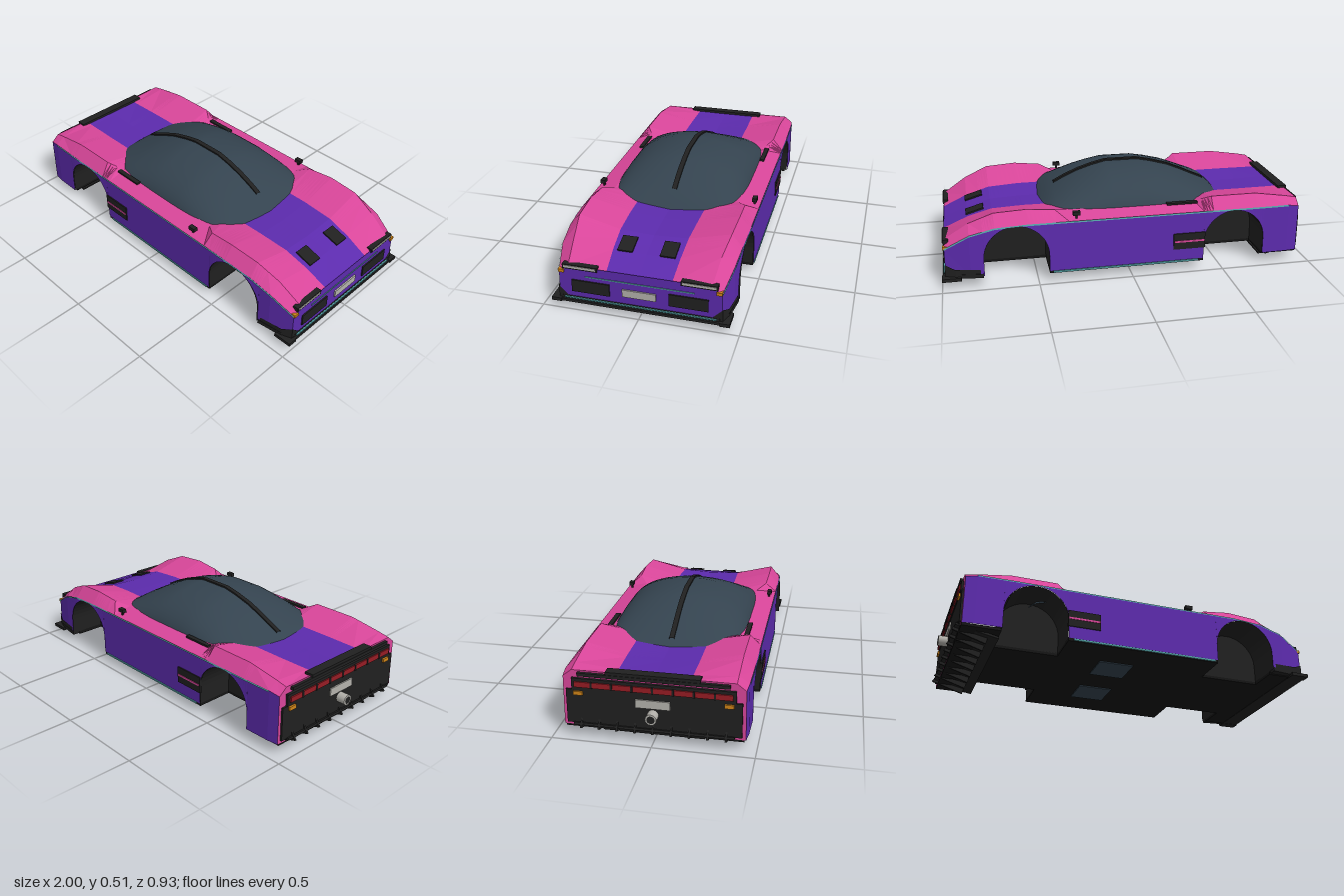
import * as THREE from 'three';

const mat = (name, color, side = THREE.FrontSide) => {
  const m = new THREE.MeshStandardMaterial({ color, side });
  m.name = name;
  return m;
};
const pink = mat('pink paint', 0xd9469a);
const purple = mat('purple paint', 0x5c2bad);
const glass = mat('smoked glass', 0x34434f);
const black = mat('black trim', 0x202020, THREE.DoubleSide);
const under = mat('underbody', 0x151515);
const teal = mat('teal pinstripe', 0x55a5a8);
const red = mat('red lamp', 0x961c24);
const orange = mat('orange lamp', 0xd08418);
const silver = mat('light grey', 0xb4b2ac);

// Body sections along x: centre y, stripe z/y, ridge z/y, shoulder z/y
const KEYS = [
  [-0.94, 0.345, 0.18, 0.345, 0.40, 0.35, 0.445, 0.315],
  [-0.88, 0.34, 0.182, 0.343, 0.40, 0.362, 0.452, 0.325],
  [-0.70, 0.335, 0.185, 0.343, 0.40, 0.39, 0.455, 0.325],
  [-0.45, 0.333, 0.185, 0.343, 0.40, 0.39, 0.455, 0.325],
  [-0.37, 0.33, 0.185, 0.335, 0.345, 0.35, 0.455, 0.325],
  [0.33, 0.325, 0.185, 0.33, 0.345, 0.35, 0.455, 0.325],
  [0.40, 0.322, 0.185, 0.333, 0.395, 0.375, 0.455, 0.325],
  [0.55, 0.322, 0.183, 0.333, 0.40, 0.39, 0.455, 0.325],
  [0.72, 0.315, 0.178, 0.324, 0.395, 0.38, 0.45, 0.315],
  [0.85, 0.28, 0.172, 0.285, 0.375, 0.325, 0.44, 0.28],
  [0.98, 0.225, 0.165, 0.226, 0.36, 0.24, 0.41, 0.205],
];
const WELLS = [-0.57, 0.61], R = 0.17, CY = 0.15, SILL = 0.055, WELL_Z = 0.25;

const sample = (table, x) => {
  let i = 0;
  while (i < table.length - 2 && x > table[i + 1][0]) i++;
  const a = table[i], b = table[i + 1], t = (x - a[0]) / (b[0] - a[0]);
  return a.map((v, k) => v + (b[k] - v) * t);
};

// Outline of a wheel arch, rear to front
const archPath = (cx) => {
  const pts = [[cx - R, SILL]];
  for (let i = 0; i <= 20; i++) {
    const a = Math.PI * (1 - i / 20);
    pts.push([cx + R * Math.cos(a), CY + R * Math.sin(a)]);
  }
  return [...pts, [cx + R, SILL]];
};

// Surface through rows of points
function grid(rows, smooth = false) {
  const n = rows[0].length, idx = [];
  for (let i = 0; i < rows.length - 1; i++)
    for (let j = 0; j < n - 1; j++) {
      const a = i * n + j, b = a + n;
      idx.push(a, a + 1, b + 1, a, b + 1, b);
    }
  let g = new THREE.BufferGeometry();
  g.setAttribute('position', new THREE.Float32BufferAttribute(rows.flat(2), 3));
  g.setIndex(idx);
  if (!smooth) g = g.toNonIndexed();
  g.computeVertexNormals();
  return g;
}

export function createModel() {
  const car = new THREE.Group();
  car.name = 'car';
  const add = (name, geo, m) => {
    const mesh = new THREE.Mesh(geo, m);
    mesh.name = name;
    car.add(mesh);
    return mesh;
  };
  const box = (name, m, x0, x1, y0, y1, z0, z1) => {
    const mesh = add(name, new THREE.BoxGeometry(x1 - x0, y1 - y0, z1 - z0), m);
    mesh.position.set((x0 + x1) / 2, (y0 + y1) / 2, (z0 + z1) / 2);
    return mesh;
  };
  const pair = (name, m, x0, x1, y0, y1, z0, z1) =>
    [box(name, m, x0, x1, y0, y1, z0, z1), box(name, m, x0, x1, y0, y1, -z1, -z0)];

  // Body shell: strips running lengthwise, with arches cut in the flanks
  const stations = KEYS.map((k) => [k[0], SILL])
    .filter(([x]) => !WELLS.some((c) => Math.abs(x - c) < R));
  for (const k of KEYS) for (const c of WELLS)
    if (Math.abs(k[0] - c) < R) stations.push([k[0], CY + Math.sqrt(R * R - (k[0] - c) ** 2)]);
  WELLS.forEach((c) => stations.push(...archPath(c)));
  stations.sort((a, b) => a[0] - b[0]);
  const section = ([x, low]) => {
    const [, yc, zs, ys, zr, yr, zb, yb] = sample(KEYS, x);
    return [[x, yc, 0], [x, ys, zs], [x, yr, zr], [x, yb, zb], [x, low, zb + 0.003]];
  };
  const sections = stations.map(section);
  const bothSides = (name, rows, m) => {
    add(name, grid(rows), m);
    add(name, grid(rows.map((r) => r.map(([x, y, z]) => [x, y, -z]).reverse())), m);
  };
  bothSides('centreStripe', sections.map((s) => s.slice(0, 2)), purple);
  bothSides('upperBody', sections.map((s) => s.slice(1, 4)), pink);
  bothSides('flank', sections.map((s) => s.slice(3, 5)), purple);
  bothSides('beltPinstripe', sections.filter((s) => s[0][0] > -0.89)
    .map((s) => [[s[3][0], s[3][1] + 0.003, s[3][2] + 0.003], [s[3][0], s[3][1] - 0.005, s[3][2] + 0.005]]), teal);
  const cap = (s) => [s.map(([x, y, z]) => [x, y, z]), s.map(([x, y, z]) => [x, y, -z])];
  add('noseFace', grid(cap(sections[sections.length - 1].slice(1))), purple);
  add('tailFace', grid(cap(sections[0].slice(1)).reverse()), pink);

  // Wheel wells, open below
  for (const c of WELLS) for (const s of [1, -1]) {
    const path = archPath(c);
    add('wheelWell', grid(path.map(([x, y]) => [[x, y, s * WELL_Z], [x, y, s * 0.455]])), black);
    const wall = new THREE.Shape(path.map(([x, y]) => new THREE.Vector2(x, y)));
    add('wellWall', new THREE.ShapeGeometry(wall), black).position.z = s * WELL_Z;
  }

  // Floor
  box('floor', under, -0.94, 0.97, 0.04, 0.06, -WELL_Z, WELL_Z);
  pair('floorSide', under, -0.40, 0.44, 0.04, 0.06, WELL_Z, 0.455);
  pair('floorRear', under, -0.94, -0.74, 0.045, 0.06, WELL_Z, 0.44);
  pair('floorFront', under, 0.78, 0.97, 0.04, 0.06, WELL_Z, 0.41);
  pair('floorPanel', glass, -0.17, 0.02, 0.034, 0.042, 0.09, 0.27);
  pair('sillPinstripe', teal, -0.37, 0.42, 0.044, 0.053, 0.452, 0.461);

  // Canopy: half-ellipse sections [x, height, half width]
  const DOME = [[-0.575, 0.02, 0.24], [-0.54, 0.05, 0.31], [-0.50, 0.07, 0.335], [-0.45, 0.092, 0.352],
    [-0.38, 0.125, 0.365], [-0.30, 0.158, 0.37], [-0.20, 0.186, 0.37], [-0.12, 0.202, 0.37],
    [0.06, 0.202, 0.37], [0.14, 0.183, 0.37], [0.22, 0.157, 0.37], [0.30, 0.122, 0.365],
    [0.37, 0.085, 0.36], [0.42, 0.052, 0.345], [0.47, 0.005, 0.30]];
  add('canopy', grid(DOME.map(([x, h, w]) => Array.from({ length: 25 }, (_, j) => {
    const a = Math.PI * (1 - j / 24);
    return [x, 0.30 + h * Math.sin(a), w * Math.cos(a)];
  })), true), glass);
  const spine = [-0.52, ...DOME.slice(2, 12).map((d) => d[0]), 0.36].map((x) => {
    const y = 0.30 + sample(DOME, x)[1];
    return [[x, y - 0.01, -0.013], [x, y + 0.008, -0.013], [x, y + 0.008, 0.013], [x, y - 0.01, 0.013]];
  });
  add('canopySpine', grid(spine), black);

  // Flank details
  pair('sideVent', black, -0.405, -0.23, 0.12, 0.21, 0.45, 0.463);
  pair('ventAccent', pink, -0.40, -0.235, 0.16, 0.17, 0.46, 0.466);
  pair('doorHandle', black, -0.38, -0.21, 0.348, 0.358, 0.36, 0.385);
  pair('mirror', black, 0.27, 0.31, 0.35, 0.37, 0.415, 0.44);
  pair('mirrorStalk', black, 0.285, 0.295, 0.325, 0.355, 0.42, 0.43);

  // Nose details
  pair('hoodVent', black, 0.76, 0.86, 0.298, 0.306, 0.07, 0.148).forEach((v) => { v.rotation.z = -0.29; });
  pair('headlampHousing', black, 0.955, 0.985, 0.224, 0.248, 0.21, 0.39);
  pair('headlamp', silver, 0.965, 0.988, 0.231, 0.243, 0.218, 0.382);
  pair('frontIndicator', orange, 0.96, 0.988, 0.20, 0.217, 0.383, 0.412);
  pair('noseIntake', black, 0.975, 0.987, 0.098, 0.164, 0.15, 0.345);
  box('frontPlate', silver, 0.975, 0.988, 0.11, 0.15, -0.085, 0.085);
  box('nosePinstripe', teal, 0.977, 0.984, 0.186, 0.191, -0.275, 0.275);
  const lip = new THREE.Shape([[0.785, -0.453], [0.93, -0.435], [0.985, -0.40], [0.985, 0.40], [0.93, 0.435], [0.785, 0.453]]
    .map(([x, z]) => new THREE.Vector2(x, z)));
  const lipMesh = add('frontLip', new THREE.ExtrudeGeometry(lip, { depth: 0.022, bevelEnabled: false }), black);
  lipMesh.rotation.x = -Math.PI / 2;
  lipMesh.position.y = 0.045;
  for (const s of [1, -1]) {
    const corner = [[[0.80, 0.09, s * 0.449], [0.80, 0.05, s * 0.449]], [[0.93, 0.095, s * 0.434], [0.93, 0.05, s * 0.434]],
      [[0.983, 0.12, s * 0.415], [0.983, 0.05, s * 0.415]], [[0.985, 0.066, s * 0.36], [0.985, 0.05, s * 0.36]]];
    add('lipCorner', grid(corner), black);
  }
  box('lipPinstripe', teal, 0.983, 0.992, 0.058, 0.065, -0.385, 0.385);
  box('splitter', black, 0.90, 0.995, 0.038, 0.052, -0.40, 0.40);
  pair('canard', black, 0.90, 1.0, 0.036, 0.054, 0.40, 0.452);

  // Tail details
  box('tailPanel', black, -0.95, -0.935, 0.07, 0.25, -0.43, 0.43);
  box('lampHousing', black, -0.953, -0.935, 0.25, 0.312, -0.40, 0.40);
  box('tailLampBar', red, -0.96, -0.945, 0.268, 0.296, -0.385, 0.385);
  for (let i = -3; i <= 3; i++) box('lampDivider', black, -0.963, -0.95, 0.266, 0.298, i * 0.1 - 0.005, i * 0.1 + 0.005);
  pair('rearIndicator', orange, -0.96, -0.945, 0.225, 0.245, 0.345, 0.39);
  box('rearPlate', silver, -0.957, -0.945, 0.185, 0.228, -0.085, 0.085);
  box('tailSpoiler', black, -0.955, -0.905, 0.343, 0.358, -0.23, 0.23);
  box('spoilerEdge', black, -0.956, -0.938, 0.325, 0.342, -0.37, 0.37);
  const pipe = add('exhaust', new THREE.CylinderGeometry(0.028, 0.028, 0.06, 16), silver);
  pipe.rotation.z = Math.PI / 2;
  pipe.position.set(-0.97, 0.15, 0);
  const bore = add('exhaustBore', new THREE.CircleGeometry(0.02, 16), black);
  bore.rotation.y = -Math.PI / 2;
  bore.position.set(-1.001, 0.15, 0);

  // Diffuser and fins
  const diffuser = box('diffuser', black, -0.965, -0.74, 0.043, 0.055, -0.395, 0.395);
  diffuser.rotation.z = -0.2;
  const fin = new THREE.Shape([[-0.975, 0.055], [-0.80, 0], [-0.79, 0.045], [-0.94, 0.115]]
    .map(([x, y]) => new THREE.Vector2(x, y)));
  const finGeo = new THREE.ExtrudeGeometry(fin, { depth: 0.01, bevelEnabled: false });
  for (let i = -4; i <= 4; i++) add('diffuserFin', finGeo, black).position.z = i * 0.089 - 0.005;
  return car;
}
